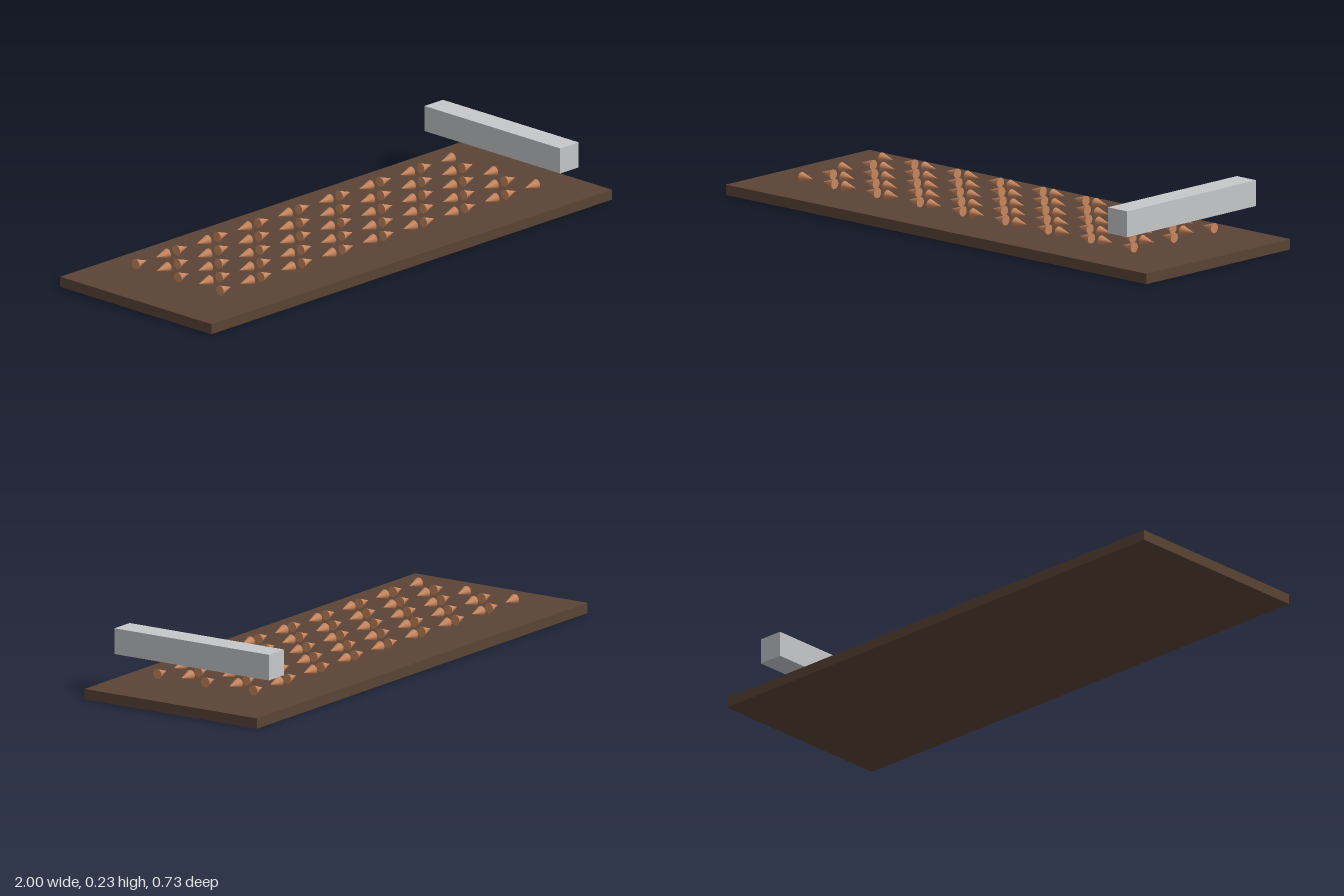
import * as THREE from 'three';

export function createModel() {
  const model = new THREE.Group();
  const material = (name, color) => {
    const m = new THREE.MeshStandardMaterial({ color });
    m.name = name;
    return m;
  };
  const brown = material('dark brown', 0x5a4435);
  const copper = material('copper', 0xc8875f);
  const silver = material('silver grey', 0xc6c8ca);

  const add = (name, geometry, mat, x, y, z) => {
    const mesh = new THREE.Mesh(geometry, mat);
    mesh.name = name;
    mesh.position.set(x, y, z);
    model.add(mesh);
    return mesh;
  };

  // Flat base board
  add('board', new THREE.BoxGeometry(2, 0.037, 0.73), brown, 0, 0.0185, 0);

  // Crossbar hovering over one end
  add('crossbar', new THREE.BoxGeometry(0.092, 0.092, 0.655), silver, 0.827, 0.187, 0);

  // Grid of small cones lying along x, pointing in alternating directions
  const columns = 16, rows = 5, pitch = 0.1017;
  const cone = new THREE.ConeGeometry(0.0183, 0.056, 16);
  for (let row = 0; row < rows; row++) {
    for (let col = 0; col < columns; col++) {
      const x = (col - (columns - 1) / 2) * pitch;
      const z = (row - (rows - 1) / 2) * pitch;
      const mesh = add('cone', cone, copper, x, 0.07, z);
      mesh.rotation.z = ((row + col) % 2 ? 1 : -1) * Math.PI / 2;
    }
  }
  return model;
}
